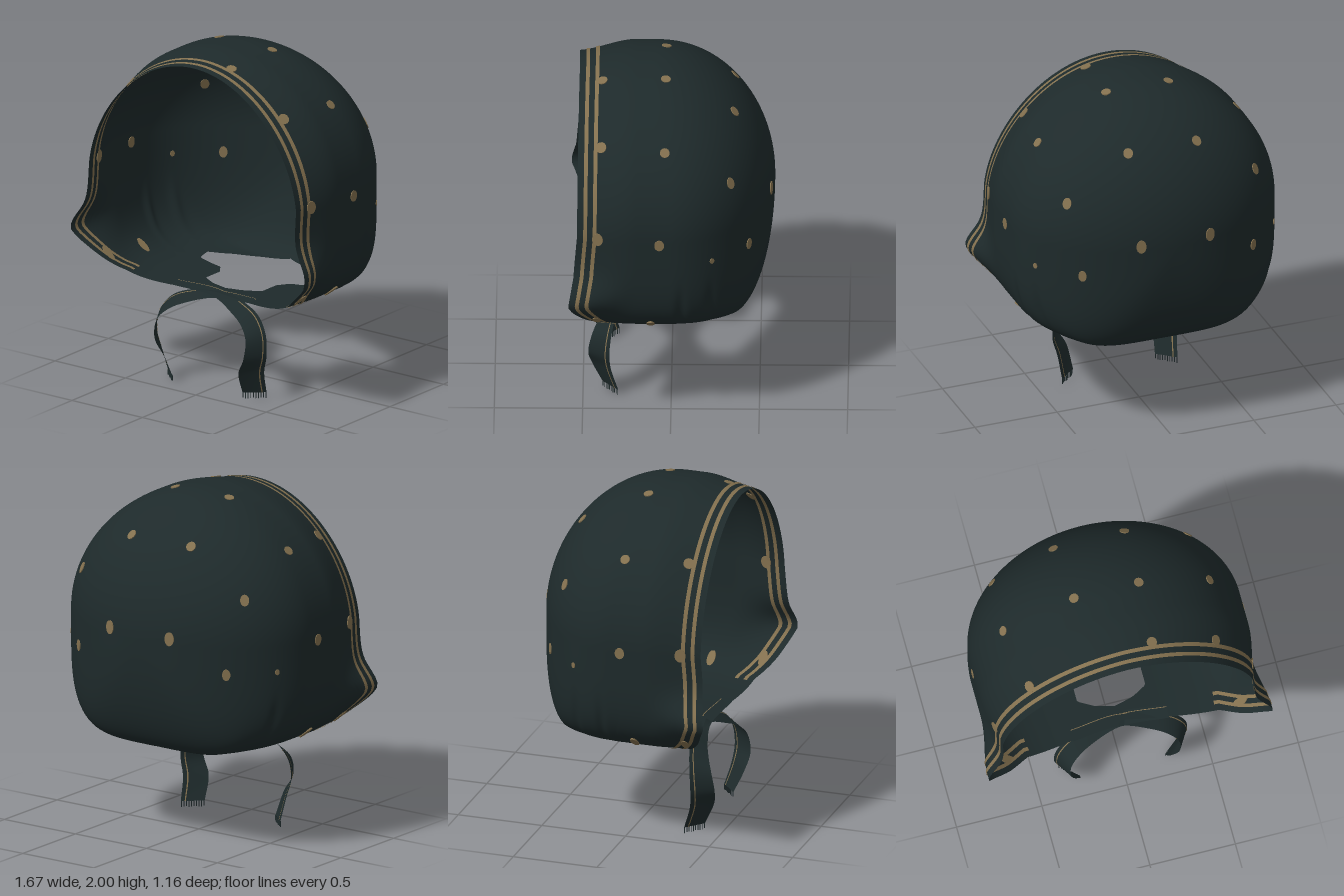
import * as THREE from 'three';

const cloth = new THREE.MeshStandardMaterial({ color: 0x1e2a2b, side: THREE.DoubleSide });
cloth.name = 'dark teal cloth';
const gold = new THREE.MeshStandardMaterial({ color: 0x84714f, side: THREE.DoubleSide });
gold.name = 'dull gold print';

const BACK = -0.585, MID = 1.25, POWER = 4.5;

// linear lookup in a short table of [key, value] pairs
function lookup(table, t) {
  if (t <= table[0][0]) return table[0][1];
  for (let i = 1; i < table.length; i++) {
    const [k0, a] = table[i - 1], [k1, b] = table[i];
    if (t <= k1) return a + (b - a) * (t - k0) / (k1 - k0);
  }
  return table[table.length - 1][1];
}

// depth of the front rim by angle from the crown (0) to under the chin (PI)
const RIM = [[0, 0.52], [1.57, 0.53], [1.92, 0.55], [2.11, 0.58], [2.3, 0.5], [2.47, 0.41], [3.142, 0.31]];
// half width of the neck hole, from back to front
const HOLE = [[0.22, 0], [0.26, 0.2], [0.32, 0.36], [0.4, 0.47], [0.5, 0.43], [0.56, 0.25],
  [0.64, 0.2], [0.78, 0.2], [0.85, 0.11], [0.9, 0]];

const round = (z, start) => {
  const t = THREE.MathUtils.clamp((start - z) / (start - BACK), 0, 1);
  return Math.sqrt(1 - t * t);
};
const rimDepth = (angle) => lookup(RIM, Math.abs(angle));

// point on the hood: angle around the section, s from back pole (0) to rim (1)
function hood(angle, s) {
  const q = Math.abs(angle), side = Math.sign(angle);
  const z = BACK + s * (rimDepth(angle) - BACK);
  const front = THREE.MathUtils.smoothstep(z, 0.2, 0.55);
  const w = 0.79 * round(z, 0) - 0.055 * front;
  const sin = Math.max(0, Math.sin(q)), cos = Math.cos(q);
  let x, y;
  if (q <= Math.PI / 2) {
    x = w * sin - 0.04 * front * Math.sin(2 * q);
    y = MID + (0.75 * round(z, 0.1) - 0.045 * front) * cos;
  } else {
    // boxy lower half
    const r = Math.pow(sin ** POWER + Math.abs(cos) ** POWER, -1 / POWER);
    x = w * sin * r;
    y = MID + 0.685 * round(z, -0.35) * cos * r;
    // cheeks flare out at the rim, with soft folds behind them
    const near = Math.min(1, x * 3);
    x += 0.11 * front * Math.exp(-(((y - 0.85) / 0.13) ** 2)) * near;
    const fold = Math.exp(-(((y - 0.78) / 0.13) ** 2));
    for (const c of [-0.06, -0.23]) x -= 0.014 * fold * Math.exp(-(((z - c) / 0.025) ** 2)) * near;
  }
  return new THREE.Vector3(side * x, y, z);
}

function hoodNormal(angle, s) {
  const e = 0.004;
  const a = hood(angle + e, s).sub(hood(angle - e, s));
  const b = hood(angle, Math.min(1, s + e)).sub(hood(angle, s - e));
  return a.cross(b).normalize();
}

// surface from a rule f(u, v), with u and v from 0 to 1
function surface(nu, nv, f) {
  const pos = [], index = [];
  for (let j = 0; j <= nv; j++) for (let i = 0; i <= nu; i++) pos.push(...f(i / nu, j / nv).toArray());
  for (let j = 0; j < nv; j++) for (let i = 0; i < nu; i++) {
    const a = j * (nu + 1) + i, b = a + nu + 1;
    index.push(a, a + 1, b, a + 1, b + 1, b);
  }
  const g = new THREE.BufferGeometry();
  g.setAttribute('position', new THREE.Float32BufferAttribute(pos, 3));
  g.setIndex(index);
  g.computeVertexNormals();
  return g;
}

export function createModel() {
  const model = new THREE.Group();
  model.name = 'headscarf';
  const add = (name, geometry, material) => {
    const m = new THREE.Mesh(geometry, material);
    m.name = name;
    model.add(m);
    return m;
  };

  // hood with the neck hole left open underneath
  add('hood', surface(160, 110, (u, v) => {
    const s = 1 - Math.cos(v * Math.PI / 2);
    const h = lookup(HOLE, s) / 0.79;
    const end = Math.PI - Math.atan2(h, Math.pow(1 - h ** POWER, 1 / POWER));
    return hood((u * 2 - 1) * end, s);
  }), cloth);

  // two printed stripes along the rim, outside and inside
  for (const d of [0.036, 0.09]) for (const off of [0.004, -0.004]) {
    add('rimStripe', surface(160, 1, (u, v) => {
      const angle = (u * 2 - 1) * 2.5;
      const s = 1 - (d + v * 0.022) / (rimDepth(angle) - BACK);
      return hood(angle, s).addScaledVector(hoodNormal(angle, s), off);
    }), gold);
  }

  // printed spots: x, y, z, size, stretch; each lies on the nearest place of the hood
  const spots = [[0.18, 1.97, 0.4, 0.03, 1]];
  for (const m of [1, -1]) {
    for (const [x, y, z, r, k] of [
      [0.21, 1.79, -0.36, 0.028, 1.1], [0.21, 1.28, -0.57, 0.029, 1.4], [0.57, 1.51, -0.34, 0.026, 1.3],
      [0.5, 1.1, -0.42, 0.024, 1.4], [0.2, 1.99, 0.03, 0.028, 1], [0.6, 1.74, 0.03, 0.028, 1],
      [0.78, 1.23, 0.07, 0.028, 1.2], [0.67, 0.66, 0.11, 0.024, 2.2], [0.74, 1.1, -0.25, 0.014, 1.2],
      [0.66, 0.7, 0.41, 0.024, 2.2], [0.54, 1.72, 0.4, 0.032, 1], [0.76, 1.25, 0.41, 0.032, 1.2]]) {
      spots.push([m * x, y, z, r, k]);
    }
  }
  for (const [x, y, z, r, k] of spots) {
    const target = new THREE.Vector3(x, y, z);
    let best = Infinity, angle = 0, s = 0;
    for (let i = 1; i < 120; i++) for (let j = 1; j < 120; j++) {
      const a = Math.sign(x) * i / 120 * 2.9, t = 1 - Math.cos(j / 120 * Math.PI / 2);
      const d = hood(a, t).distanceToSquared(target);
      if (d < best) { best = d; angle = a; s = t; }
    }
    const n = hoodNormal(angle, s);
    const across = new THREE.Vector3(0, 1, 0).cross(n).normalize();
    const spot = add('spot', new THREE.CylinderGeometry(r, r, 0.009, 14).scale(1, 1, k), gold);
    spot.quaternion.setFromRotationMatrix(new THREE.Matrix4().makeBasis(across, n, across.clone().cross(n)));
    spot.position.copy(hood(angle, s));
  }

  // two ribbons crossing under the chin and hanging down, with fringed ends
  for (const m of [1, -1]) {
    const V = (x, y, z) => new THREE.Vector3(m * x, y, z);
    const lift = m * 0.005;
    const middle = new THREE.CatmullRomCurve3([
      V(-0.28, 0.575, 0.33), V(0, 0.555 + lift, 0.3), V(0.17, 0.515, 0.335), V(0.28, 0.465, 0.365),
      V(0.345, 0.385, 0.395), V(0.352, 0.27, 0.41), V(0.315, 0.17, 0.395), V(0.3, 0.035, 0.345)]);
    // half width across the ribbon at each point above
    const half = new THREE.CatmullRomCurve3([
      V(0, 0.004, -0.04), V(0, 0.012, -0.04), V(0.012, 0.026, -0.04), V(0.026, 0.022, -0.048),
      V(0.03, 0.01, -0.055), V(0.037, 0.004, -0.06), V(0.05, 0.002, -0.055), V(0.051, 0, -0.045)]);
    const band = (from, to, off) => surface(2, 48, (u, v) => {
      const h = half.getPoint(v), t = middle.getTangent(v);
      return middle.getPoint(v).addScaledVector(h, from + (to - from) * u)
        .addScaledVector(h.clone().cross(t).normalize(), off);
    });
    add('tie', band(-1, 1, 0), cloth);
    for (const off of [0.004, -0.004]) add('tieStripe', band(0.58, 0.68, off), gold);
    const end = middle.getPoint(1), edge = half.getPoint(1);
    for (let i = 0; i < 10; i++) {
      const length = 0.028 + 0.007 * Math.abs(Math.sin(i * 2.3));
      const thread = add('fringeThread', new THREE.BoxGeometry(0.004, length, 0.004), cloth);
      thread.position.copy(end).addScaledVector(edge, -0.95 + i * 0.211);
      thread.position.y -= length / 2;
    }
  }
  return model;
}
